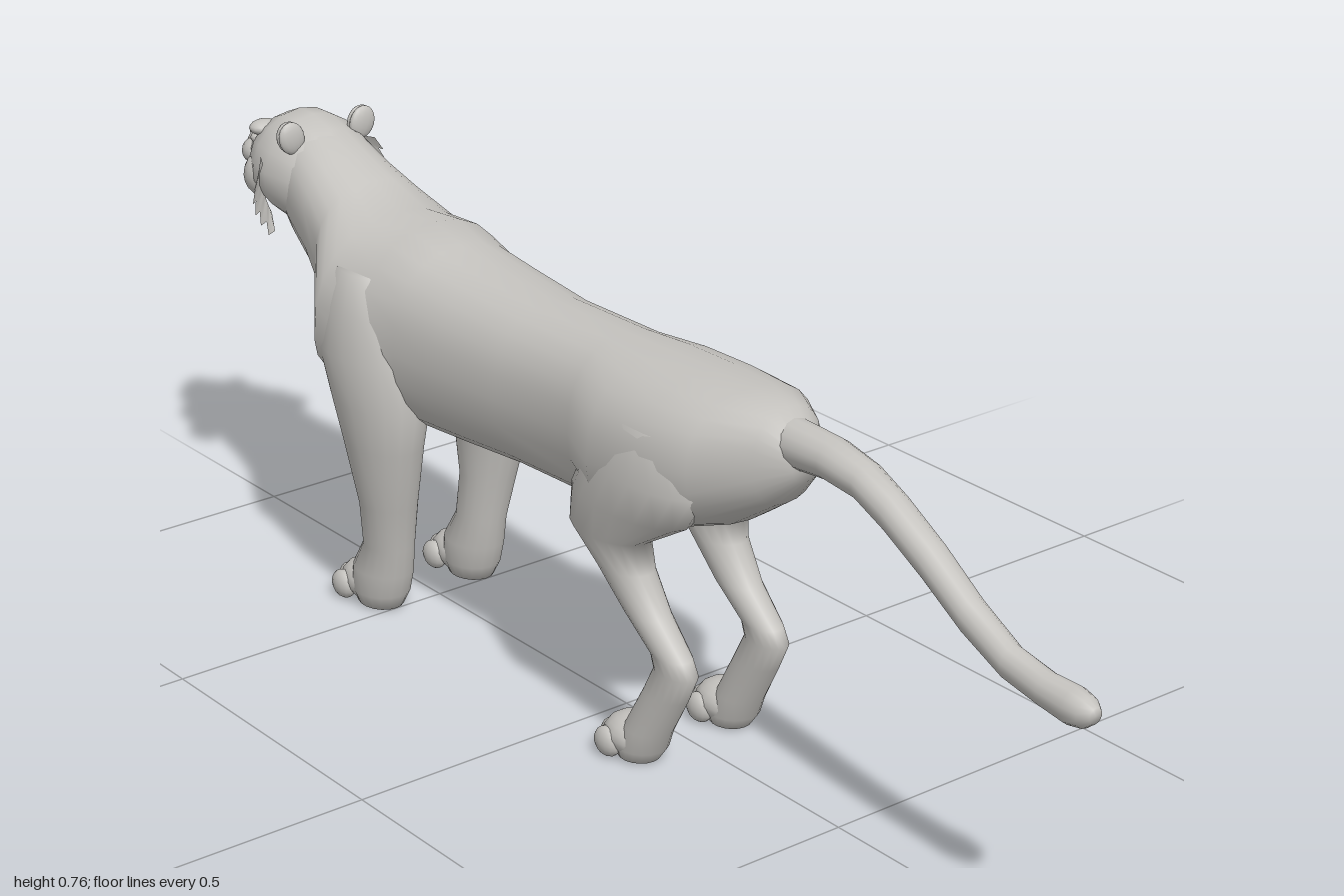
import * as THREE from 'three';

const fur = new THREE.MeshStandardMaterial({ color: 0xc4c2be });
fur.name = 'grey fur';
const furSheet = new THREE.MeshStandardMaterial({ color: 0xc4c2be, side: THREE.DoubleSide });
furSheet.name = 'grey fur sheet';

// Closed loft along 'z' (rows: z, top, bottom, halfWidth, xCentre, yWidest)
// or along 'y' (rows: y, zBack, zFront, halfWidth, xCentre).
function loft(name, axis, rows, power = 1, sides = 18) {
  const pos = [], idx = [];
  const put = (t, x, v) => (axis === 'z' ? pos.push(x, v, t) : pos.push(x, t, v));
  for (const [t, hi, lo, w, xc = 0, mid = (hi + lo) / 2] of rows) {
    for (let i = 0; i < sides; i++) {
      const a = (i / sides) * Math.PI * 2;
      const s = Math.sin(a), c = Math.cos(a);
      const u = Math.sign(s) * Math.abs(s) ** power;
      const v = Math.abs(c) ** power;
      put(t, xc + u * w, c > 0 ? mid + (hi - mid) * v : mid - (mid - lo) * v);
    }
  }
  const n = rows.length;
  for (let r = 0; r < n - 1; r++) {
    for (let i = 0; i < sides; i++) {
      const j = (i + 1) % sides, a = r * sides, b = a + sides;
      idx.push(a + i, a + j, b + j, a + i, b + j, b + i);
    }
  }
  for (const r of [0, n - 1]) {
    const [t, hi, lo, , xc = 0] = rows[r];
    const centre = pos.length / 3;
    put(t, xc, (hi + lo) / 2);
    for (let i = 0; i < sides; i++) {
      const p = r * sides + i, q = r * sides + ((i + 1) % sides);
      if (r === 0) idx.push(centre, q, p);
      else idx.push(centre, p, q);
    }
  }
  // Turn the surface outward whichever way the rows run
  const P = (i) => new THREE.Vector3().fromArray(pos, i * 3);
  let volume = 0;
  for (let i = 0; i < idx.length; i += 3) volume += P(idx[i]).dot(P(idx[i + 1]).cross(P(idx[i + 2])));
  if (volume < 0) idx.reverse();
  const g = new THREE.BufferGeometry();
  g.setAttribute('position', new THREE.Float32BufferAttribute(pos, 3));
  g.setIndex(idx);
  g.computeVertexNormals();
  const m = new THREE.Mesh(g, fur);
  m.name = name;
  return m;
}

function blob(name, x, y, z, rx, ry, rz) {
  const m = new THREE.Mesh(new THREE.SphereGeometry(1, 14, 10), fur);
  m.name = name;
  m.position.set(x, y, z);
  m.scale.set(rx, ry, rz);
  return m;
}

// Jagged fur fringe flaring from the cheek
function ruff(s) {
  const pos = [], idx = [], steps = 12;
  for (let i = 0; i <= steps; i++) {
    const t = i / steps, tooth = i % 2 ? 0.012 : 0;
    const flare = Math.sin(Math.PI * (0.2 + 0.75 * t));
    pos.push(s * (0.092 - 0.03 * t * t), 0.69 - 0.11 * t, -0.85 - 0.02 * t);
    pos.push(s * (0.085 + 0.043 * flare + tooth * 0.7 - 0.012 * t), 0.69 - 0.128 * t - tooth, -0.815 - 0.02 * t + tooth * 0.5);
    if (i < steps) {
      const a = i * 2;
      idx.push(a, a + 1, a + 3, a, a + 3, a + 2);
    }
  }
  const g = new THREE.BufferGeometry();
  g.setAttribute('position', new THREE.Float32BufferAttribute(pos, 3));
  g.setIndex(idx);
  g.computeVertexNormals();
  const m = new THREE.Mesh(g, furSheet);
  m.name = 'cheekRuff';
  return m;
}

function paw(x, zBack, zFront) {
  const g = new THREE.Group();
  g.name = 'paw';
  const zc = (zBack + zFront) / 2;
  g.add(blob('pawPad', x, 0.035, zc, 0.045, 0.034, (zBack - zFront) / 2 - 0.008));
  for (let i = 0; i < 4; i++) {
    const k = i - 1.5, outer = Math.abs(k) > 1;
    g.add(blob('toe', x + k * 0.025, 0.025, zFront + (outer ? 0.042 : 0.027), 0.016, 0.024, 0.027));
  }
  return g;
}

function foreleg(s) {
  const g = new THREE.Group();
  g.name = 'foreleg';
  g.add(loft('forelegLimb', 'y', [
    [0.59, -0.48, -0.60, 0.04, s * 0.1],
    [0.53, -0.44, -0.635, 0.06, s * 0.1],
    [0.46, -0.41, -0.64, 0.072, s * 0.103],
    [0.38, -0.405, -0.605, 0.068, s * 0.104],
    [0.31, -0.415, -0.572, 0.058, s * 0.108],
    [0.2, -0.445, -0.545, 0.047, s * 0.1],
    [0.12, -0.462, -0.553, 0.041, s * 0.093],
    [0.07, -0.47, -0.585, 0.046, s * 0.092],
    [0.03, -0.482, -0.59, 0.046, s * 0.092],
    [0.004, -0.495, -0.58, 0.035, s * 0.092],
  ]));
  g.add(paw(s * 0.092, -0.485, -0.632));
  return g;
}

function hindLeg(s) {
  const g = new THREE.Group();
  g.name = 'hindLeg';
  g.add(loft('hindLimb', 'y', [
    [0.56, 0.27, 0.08, 0.04, s * 0.09],
    [0.48, 0.3, 0.035, 0.055, s * 0.094],
    [0.42, 0.26, 0.005, 0.054, s * 0.096],
    [0.36, 0.16, 0.0, 0.046, s * 0.094],
    [0.31, 0.165, 0.06, 0.039, s * 0.09],
    [0.25, 0.205, 0.12, 0.032, s * 0.088],
    [0.2, 0.258, 0.18, 0.027, s * 0.088],
    [0.175, 0.272, 0.188, 0.027, s * 0.088],
    [0.13, 0.25, 0.165, 0.03, s * 0.088],
    [0.06, 0.21, 0.128, 0.036, s * 0.09],
    [0.025, 0.195, 0.11, 0.04, s * 0.09],
    [0.004, 0.18, 0.11, 0.032, s * 0.09],
  ]));
  g.add(paw(s * 0.09, 0.195, 0.073));
  return g;
}

function head() {
  const g = new THREE.Group();
  g.name = 'head';
  g.add(loft('skull', 'z', [
    [-0.73, 0.705, 0.57, 0.07],
    [-0.78, 0.736, 0.565, 0.092],
    [-0.83, 0.75, 0.575, 0.1, 0, 0.65],
    [-0.87, 0.75, 0.59, 0.096, 0, 0.655],
    [-0.905, 0.735, 0.605, 0.08, 0, 0.66],
    [-0.93, 0.71, 0.615, 0.06, 0, 0.66],
    [-0.96, 0.698, 0.617, 0.042],
    [-0.985, 0.692, 0.625, 0.034],
    [-0.995, 0.68, 0.64, 0.022],
  ]));
  g.add(blob('nose', 0, 0.682, -0.985, 0.024, 0.014, 0.015));
  g.add(blob('chin', 0, 0.62, -0.95, 0.03, 0.02, 0.026));
  for (const s of [1, -1]) {
    g.add(blob('muzzlePad', s * 0.023, 0.655, -0.965, 0.027, 0.024, 0.031));
    g.add(blob('brow', s * 0.045, 0.716, -0.91, 0.026, 0.013, 0.021));
    g.add(blob('eye', s * 0.05, 0.697, -0.92, 0.014, 0.01, 0.012));
    g.add(blob('cheek', s * 0.062, 0.645, -0.885, 0.036, 0.04, 0.037));
    // Rounded ear with a hollow front
    const ear = new THREE.Group();
    ear.name = 'ear';
    ear.add(blob('earBack', 0, 0, 0, 0.024, 0.028, 0.01));
    const rim = new THREE.Mesh(new THREE.TorusGeometry(0.017, 0.006, 8, 18), fur);
    rim.name = 'earRim';
    rim.position.z = -0.008;
    rim.scale.y = 1.2;
    ear.add(rim);
    ear.position.set(s * 0.069, 0.732, -0.79);
    ear.rotation.z = -s * 0.35;
    g.add(ear, ruff(s));
  }
  return g;
}

export function createModel() {
  const model = new THREE.Group();
  model.name = 'bigCat';

  // Trunk and neck in one sweep from rump to nape
  model.add(loft('body', 'z', [
    [0.415, 0.585, 0.525, 0.03],
    [0.37, 0.625, 0.475, 0.065],
    [0.29, 0.63, 0.42, 0.122],
    [0.2, 0.63, 0.385, 0.138],
    [0.09, 0.627, 0.358, 0.147, 0, 0.48],
    [0.0, 0.625, 0.355, 0.113],
    [-0.18, 0.62, 0.35, 0.118],
    [-0.32, 0.63, 0.34, 0.13],
    [-0.42, 0.64, 0.333, 0.136],
    [-0.49, 0.659, 0.34, 0.152, 0, 0.47],
    [-0.59, 0.647, 0.375, 0.17, 0, 0.47],
    [-0.66, 0.68, 0.455, 0.118],
    [-0.72, 0.706, 0.5, 0.1],
    [-0.78, 0.734, 0.535, 0.09],
    [-0.83, 0.742, 0.565, 0.075],
    [-0.85, 0.72, 0.6, 0.05],
  ], 0.88, 24));
  model.add(blob('underbelly', 0, 0.352, -0.03, 0.035, 0.022, 0.05));

  model.add(loft('tail', 'z', [
    [0.32, 0.62, 0.54, 0.03],
    [0.39, 0.612, 0.54, 0.038],
    [0.47, 0.61, 0.548, 0.035],
    [0.54, 0.597, 0.54, 0.031],
    [0.6, 0.572, 0.512, 0.029],
    [0.68, 0.527, 0.468, 0.028],
    [0.76, 0.474, 0.417, 0.026],
    [0.84, 0.432, 0.38, 0.024],
    [0.91, 0.418, 0.368, 0.025],
    [0.96, 0.418, 0.362, 0.028],
    [0.985, 0.412, 0.366, 0.023],
    [1.0, 0.402, 0.378, 0.012],
  ], 1, 14));

  model.add(head());
  for (const s of [1, -1]) model.add(foreleg(s), hindLeg(s));
  return model;
}
